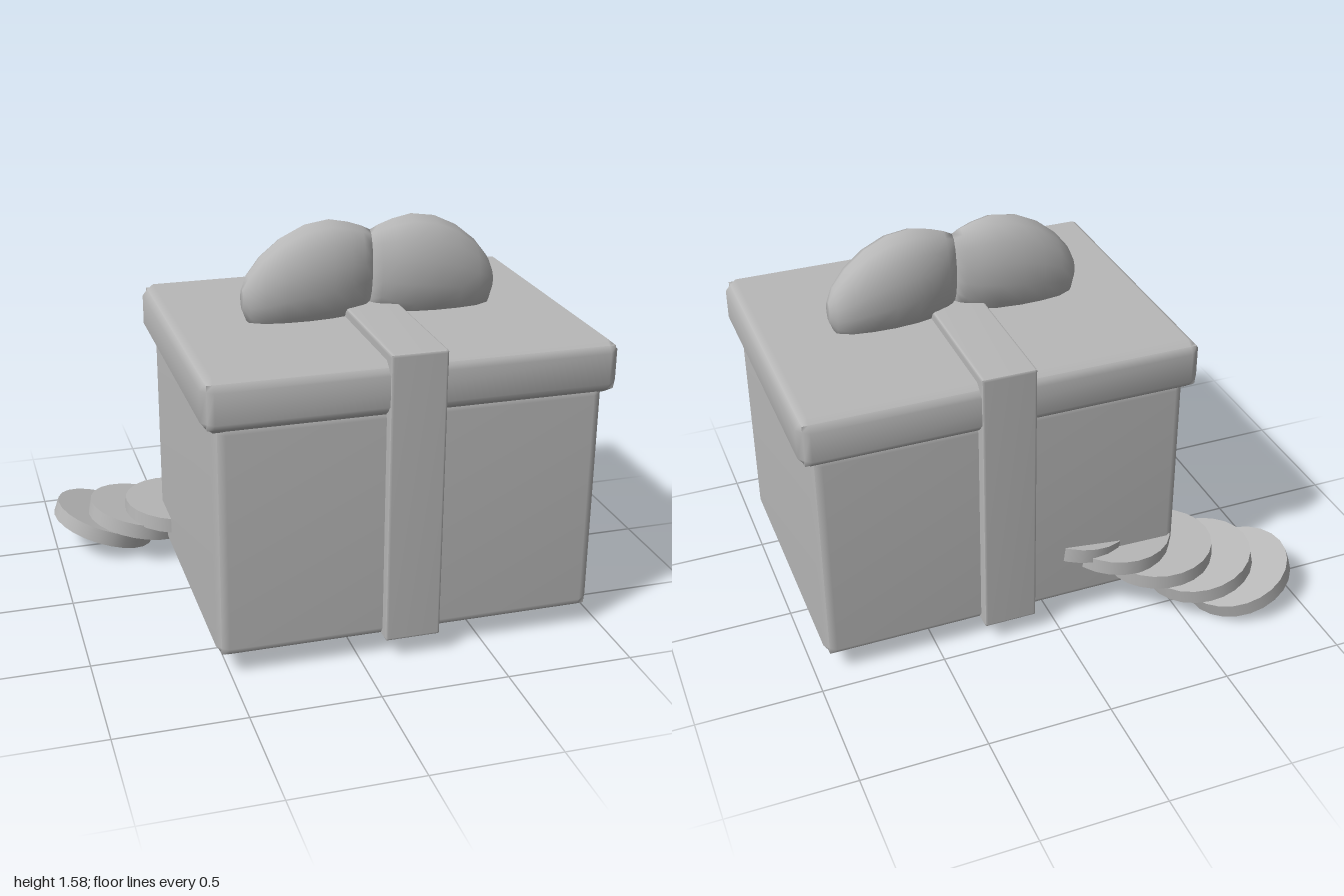
import * as THREE from 'three';

const grey = new THREE.MeshStandardMaterial({ color: 0xb8b8b8 });
grey.name = 'plain grey';

function addMesh(parent, name, geometry) {
  const mesh = new THREE.Mesh(geometry, grey);
  mesh.name = name;
  parent.add(mesh);
  return mesh;
}

// Box between two corners whose faces swell softly: the edges sit back by
// edge, and each face is flat inside a rim of width rim
function pillowBox(min, max, rim, edge) {
  const geometry = new THREE.BoxGeometry(2, 2, 2, 3, 3, 3);
  const position = geometry.attributes.position;
  for (let i = 0; i < position.count; i++) {
    const p = [position.getX(i), position.getY(i), position.getZ(i)];
    const isOuter = p.map((v) => Math.abs(v) > 0.9);
    const onEdge = isOuter.filter(Boolean).length > 1;
    const moved = p.map((v, k) => {
      const inset = isOuter[k] ? (onEdge ? edge : 0) : rim;
      return v > 0 ? max[k] - inset : min[k] + inset;
    });
    position.setXYZ(i, ...moved);
  }
  geometry.computeVertexNormals();
  return geometry;
}

// Bow loop lofted along x from oval sections: [x, bottom, top, half depth]
function bowLoop(side) {
  const sections = [
    [0, 1.24, 1.53, 0.05], [0.035, 1.205, 1.548, 0.07], [0.09, 1.18, 1.567, 0.09],
    [0.165, 1.16, 1.582, 0.106], [0.26, 1.15, 1.568, 0.11], [0.35, 1.15, 1.525, 0.1],
    [0.43, 1.16, 1.46, 0.082], [0.485, 1.19, 1.39, 0.055], [0.508, 1.25, 1.335, 0.025],
  ];
  const n = 14, positions = [], index = [];
  for (const [x, low, high, depth] of sections) {
    for (let i = 0; i < n; i++) {
      const a = (i / n) * Math.PI * 2;
      positions.push(side * x, (low + high) / 2 + Math.cos(a) * (high - low) / 2, Math.sin(a) * depth);
    }
  }
  const tri = (a, b, c) => (side > 0 ? index.push(a, c, b) : index.push(a, b, c));
  for (let s = 0; s < sections.length - 1; s++) {
    for (let i = 0; i < n; i++) {
      const a = s * n + i, b = s * n + (i + 1) % n;
      tri(a, a + n, b);
      tri(b, a + n, b + n);
    }
  }
  // End caps
  const last = (sections.length - 1) * n;
  for (let i = 1; i < n - 1; i++) {
    tri(0, i, i + 1);
    tri(last, last + i + 1, last + i);
  }
  const geometry = new THREE.BufferGeometry();
  geometry.setAttribute('position', new THREE.Float32BufferAttribute(positions, 3));
  geometry.setIndex(index);
  geometry.computeVertexNormals();
  return geometry;
}

export function createModel() {
  const model = new THREE.Group();
  model.name = 'giftBox';

  // Box, lid and the ribbon that wraps them
  addMesh(model, 'boxBody', pillowBox([-0.55, 0.075, -0.42], [0.955, 1.03, 0.72], 0.045, 0.018));
  addMesh(model, 'lid', pillowBox([-0.593, 0.995, -0.458], [0.997, 1.205, 0.752], 0.045, 0.02));
  addMesh(model, 'ribbon', pillowBox([0.092, 0.08, -0.466], [0.312, 1.242, 0.76], 0.012, 0.004));

  // Bow
  const bow = new THREE.Group();
  bow.name = 'bow';
  bow.position.set(0.203, 0, 0.148);
  addMesh(bow, 'leftBowLoop', bowLoop(1));
  addMesh(bow, 'rightBowLoop', bowLoop(-1));
  model.add(bow);

  // Fanned row of coins beside the back corner: [x, y, z, tilt]
  const coins = new THREE.Group();
  coins.name = 'coins';
  const coinGeometry = new THREE.CylinderGeometry(0.223, 0.223, 0.063, 24);
  const places = [
    [-0.78, 0.107, -0.54, -0.34], [-0.635, 0.155, -0.467, -0.21], [-0.485, 0.204, -0.39, -0.08],
    [-0.325, 0.256, -0.312, 0.02], [-0.17, 0.3, -0.235, 0.12],
  ];
  for (const [x, y, z, tilt] of places) {
    const coin = addMesh(coins, 'coin', coinGeometry);
    coin.position.set(x, y, z);
    coin.rotation.z = tilt;
  }
  model.add(coins);
  return model;
}
